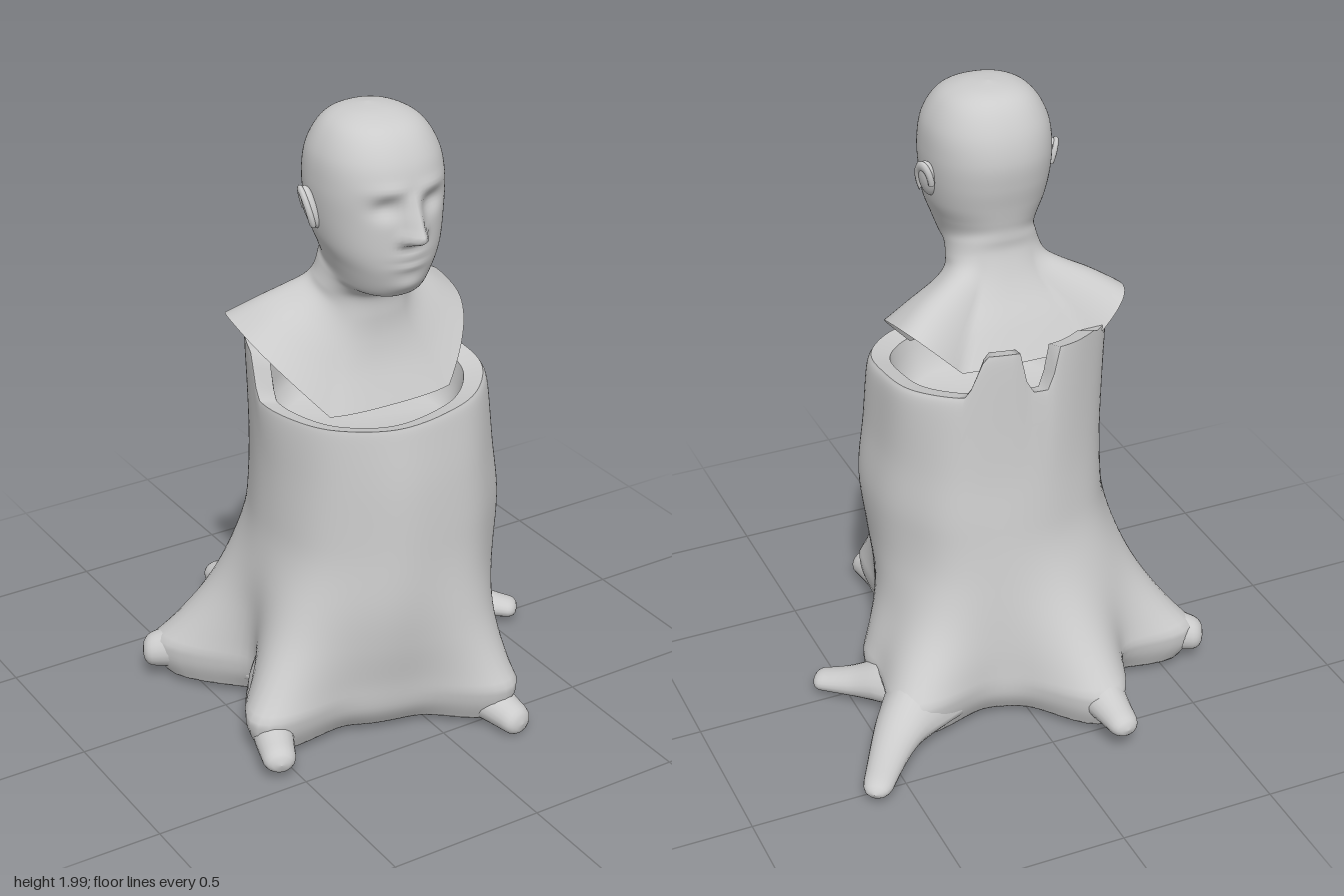
import * as THREE from 'three';

const grey = new THREE.MeshStandardMaterial({ color: 0xcccccc });
const greyThin = new THREE.MeshStandardMaterial({ color: 0xcccccc, side: THREE.DoubleSide });
const { lerp, clamp, smoothstep } = THREE.MathUtils;
const gauss = (d, s) => Math.exp(-(d * d) / (s * s));
const spow = (v, e) => Math.sign(v) * Math.pow(Math.abs(v), e);

// Skin a list of closed rings (each an array of [x, y, z])
function loft(rings) {
  const n = rings[0].length, index = [];
  for (let j = 0; j < rings.length - 1; j++) {
    for (let i = 0; i < n; i++) {
      const k = (i + 1) % n;
      const a = j * n + i, b = j * n + k, c = a + n, d = b + n;
      index.push(a, c, b, c, d, b);
    }
  }
  const g = new THREE.BufferGeometry();
  g.setAttribute('position', new THREE.Float32BufferAttribute(rings.flat(2), 3));
  g.setIndex(index);
  g.computeVertexNormals();
  return g;
}

function part(name, geometry, material = grey) {
  const m = new THREE.Mesh(geometry, material);
  m.name = name;
  return m;
}

// Catmull-Rom sample of rows of numbers at t in 0..1
function sample(rows, t) {
  const f = t * (rows.length - 1);
  const i = Math.min(Math.floor(f), rows.length - 2), u = f - i;
  const at = (k) => rows[clamp(k, 0, rows.length - 1)];
  return rows[0].map((_, c) => {
    const [p, q, r, s] = [at(i - 1)[c], at(i)[c], at(i + 1)[c], at(i + 2)[c]];
    return q + 0.5 * u * (r - p + u * (2 * p - 5 * q + 4 * r - s + u * (3 * (q - r) + s - p)));
  });
}

const angles = (n) => Array.from({ length: n }, (_, i) => (i / n) * Math.PI * 2);

// ---- Stump ----
// Each root: plan path [x, z], base/tip half width, base/tip top, tip underside, swelling of the trunk
const ROOTS = [
  { path: [[-0.1, -0.1], [-0.15, -0.3], [-0.18, -0.47], [-0.19, -0.65]], w: [0.26, 0.045], top: [0.6, 0.14], low: 0.07, swell: 0.3 },
  { path: [[0.12, -0.05], [0.31, -0.22], [0.48, -0.37], [0.63, -0.57]], w: [0.24, 0.045], top: [0.5, 0.09], low: 0.03, swell: 0.3 },
  { path: [[0.2, -0.16], [0.36, -0.12], [0.48, -0.03], [0.59, 0.06]], w: [0.14, 0.045], top: [0.36, 0.09], low: 0.03, swell: 0.13 },
  { path: [[0.07, 0.2], [0.13, 0.36], [0.17, 0.49], [0.2, 0.645]], w: [0.23, 0.05], top: [0.55, 0.1], low: 0.01, swell: 0.24 },
  { path: [[-0.24, 0.08], [-0.4, 0.18], [-0.5, 0.3], [-0.57, 0.475]], w: [0.18, 0.05], top: [0.52, 0.12], low: 0.04, swell: 0.3 },
  { path: [[-0.2, -0.05], [-0.36, -0.15], [-0.5, -0.22], [-0.64, -0.295]], w: [0.28, 0.05], top: [0.68, 0.16], low: 0.06, swell: 0.36 },
];

// Trunk outline by height fraction: [height, xMin, xMax, zBack, zFront]
const TRUNK = [
  [1, -0.4, 0.32, -0.25, 0.43], [0.96, -0.4, 0.335, -0.255, 0.44], [0.8, -0.39, 0.345, -0.27, 0.465],
  [0.62, -0.395, 0.365, -0.29, 0.48], [0.45, -0.41, 0.345, -0.31, 0.485], [0.32, -0.41, 0.33, -0.325, 0.475],
  [0.2, -0.41, 0.335, -0.335, 0.455], [0.1, -0.41, 0.335, -0.34, 0.44], [0.035, -0.37, 0.3, -0.31, 0.4],
];
const CX = -0.04, CZ = 0.07; // trunk axis

function outline([, x0, x1, z0, z1], a) {
  return [
    (x0 + x1) / 2 + ((x1 - x0) / 2) * spow(Math.sin(a), 0.92),
    (z0 + z1) / 2 + ((z1 - z0) / 2) * spow(Math.cos(a), 0.92),
  ];
}

// Broken rim: slopes up to the back, raised behind with a notch
function rimHeight(a) {
  const [x, z] = outline(TRUNK[0], a);
  const base = 1.08 + 0.1 * (0.43 - z) + 0.03 * x;
  const side = 0.13 * smoothstep(-z, -0.09, -0.02) * smoothstep(-x, 0.1, 0.16);
  const back = 0.14 * smoothstep(-z, 0.15, 0.18) * smoothstep(-x, -0.17, -0.1);
  const notch = smoothstep(Math.abs(x + 0.06), 0.035, 0.06);
  return base + Math.max(side, back) * notch;
}

function trunkRings() {
  const rows = [], N = 48;
  for (let j = 0; j <= N; j++) {
    const s = sample(TRUNK, j / N);
    rows.push(angles(120).map((a) => {
      const y = s[0] * lerp(1.1, rimHeight(a), smoothstep(s[0], 0.75, 1));
      const [x, z] = outline(s, a);
      // Shallow bark ridges, then a buttress spreading into each root
      let k = 1 + 0.01 * Math.sin(5 * a + 2.5 * y) + 0.006 * Math.sin(9 * a - 3 * y);
      const spread = Math.pow(Math.max(0, 0.68 - Math.max(y, 0.16)) / 0.6, 2);
      for (const { path, swell } of ROOTS) {
        const d = Math.atan2(path[2][0] - CX, path[2][1] - CZ) - Math.atan2(x - CX, z - CZ);
        const wide = lerp(0.24, 0.42, clamp(y / 0.6, 0, 1));
        k += (swell * spread * gauss(Math.atan2(Math.sin(d), Math.cos(d)), wide)) / Math.hypot(x - CX, z - CZ);
      }
      return [CX + (x - CX) * k, y, CZ + (z - CZ) * k];
    }));
  }
  for (const f of [0.9, 0.5, 0]) rows.push(rows[N].map(([x, , z]) => [CX + (x - CX) * f, 0.045, CZ + (z - CZ) * f]));
  return rows;
}

function rootGeometry({ path, w, top, low }) {
  const rings = [], N = 26;
  for (let j = 0; j <= N; j++) {
    const s = 1 - Math.pow(1 - j / N, 1.3);
    const [x, z] = sample(path, s);
    const [xa, za] = sample(path, Math.max(0, s - 0.01));
    const [xb, zb] = sample(path, Math.min(1, s + 0.01));
    const len = Math.hypot(xb - xa, zb - za), dx = (xb - xa) / len, dz = (zb - za) / len;
    const fall = Math.pow(1 - s, 1.7);
    const cap = Math.sqrt(Math.max(0, 1 - Math.pow(clamp((s - 0.9) / 0.1, 0, 1), 2)));
    const half = lerp(w[1], w[0], fall) * cap;
    const yTop = lerp(top[1], top[0], fall), yLow = lerp(low, 0.03, 1 - s);
    const mid = yLow + Math.min((yTop - yLow) / 2, 0.07);
    rings.push(angles(20).map((a) => {
      const c = Math.cos(a), h = Math.sin(a);
      const tall = (h > 0 ? yTop - mid : mid - yLow) * cap;
      // Tall sections pinch towards their crest
      const pinch = h > 0 ? 1 - 0.25 * h * (1 - s) : 1;
      return [x - dz * half * c * pinch, mid + tall * h, z + dx * half * c * pinch];
    }));
  }
  return loft(rings);
}

function buildStump() {
  const stump = new THREE.Group();
  stump.name = 'stump';
  const rows = trunkRings(), rim = rows[0];
  stump.add(part('trunk', loft(rows)));
  // Inset copy of the rim, following its height or set to height y
  const inner = (f, y) => rim.map(([x, ry, z]) => [CX + (x - CX) * f, y ?? ry - 0.015, 0.09 + (z - 0.09) * f]);
  stump.add(part('rim', loft([inner(0.84), rim])));
  stump.add(part('hollow', loft([inner(0, 0.95), inner(0.68, 0.95), inner(0.77, 1), inner(0.81, 1.04), inner(0.84)])));
  ROOTS.forEach((r, i) => stump.add(part('root' + (i + 1), rootGeometry(r))));
  return stump;
}

// ---- Bust ----
// Rings from crown to collar: [y front, y back, half width, z front, z back, side lift]
const BUST = [
  [2, 2, 0, 0.15, 0.15, 0], [1.99, 1.985, 0.085, 0.24, 0.07, 0], [1.955, 1.95, 0.145, 0.32, 0.02, 0],
  [1.88, 1.88, 0.185, 0.375, -0.02, 0], [1.79, 1.8, 0.196, 0.398, -0.037, 0], [1.7, 1.72, 0.192, 0.397, -0.03, 0],
  [1.6, 1.65, 0.178, 0.395, -0.015, 0], [1.53, 1.6, 0.155, 0.382, -0.005, 0], [1.465, 1.57, 0.138, 0.345, 0, 0],
  [1.45, 1.54, 0.138, 0.28, 0, 0], [1.42, 1.5, 0.147, 0.235, 0, 0], [1.35, 1.44, 0.16, 0.23, -0.02, 0.04],
  [1.28, 1.38, 0.205, 0.235, -0.05, 0.08], [1.2, 1.3, 0.29, 0.255, -0.1, 0.12], [1.09, 1.2, 0.372, 0.3, -0.155, 0.175],
];

// Relief of the face at side offset x and height y
function face(x, y) {
  const ax = Math.abs(x);
  const ridge = y > 1.66 ? clamp((1.8 - y) / 0.14, 0, 1) : clamp((y - 1.635) / 0.025, 0, 1);
  return 0.07 * ridge * gauss(x, 0.028)
    + 0.015 * gauss(ax - 0.03, 0.018) * gauss(y - 1.665, 0.02)
    - 0.024 * gauss(ax - 0.075, 0.045) * gauss(y - 1.755, 0.032)
    + 0.008 * gauss(ax - 0.07, 0.06) * gauss(y - 1.805, 0.02)
    + 0.008 * gauss(x, 0.05) * (gauss(y - 1.605, 0.014) + gauss(y - 1.57, 0.014))
    + 0.012 * gauss(x, 0.05) * gauss(y - 1.505, 0.025);
}

function bustGeometry() {
  const rings = [], N = 110;
  for (let j = 0; j <= N; j++) {
    const [yF, yB, half, zF, zB, lift] = sample(BUST, j / N);
    const e = 0.9 - Math.max(0, lift) * 1.2;
    rings.push(angles(96).map((a) => {
      const s = spow(Math.sin(a), e), c = spow(Math.cos(a), e);
      // The collar is level in front and rises straight to the shoulder points
      const rise = lift * clamp((Math.abs(s) - 0.57) / 0.43, 0, 1);
      const x = half * s;
      const y = lerp(yB, yF, (1 + c) / 2) + rise;
      const relief = c > 0 && j < N * 0.62 ? face(x, y) * smoothstep(c, 0.1, 0.5) : 0;
      return [x, Math.min(y, 2), (zF + zB) / 2 + ((zF - zB) / 2) * c + relief - 0.3 * rise];
    }));
  }
  return loft(rings);
}

function buildBust() {
  const bust = new THREE.Group();
  bust.name = 'bust';
  bust.position.x = -0.065;
  bust.add(part('headAndShoulders', bustGeometry(), greyThin));
  for (const side of [-1, 1]) {
    const ear = new THREE.Group();
    ear.name = side > 0 ? 'leftEar' : 'rightEar';
    const lobe = part('earBody', new THREE.SphereGeometry(1, 20, 14));
    lobe.scale.set(0.022, 0.066, 0.034);
    // Helix curls over the top and back, open at the front
    const helix = part('earHelix', new THREE.TorusGeometry(0.03, 0.01, 8, 24, Math.PI * 1.3));
    helix.rotation.y = Math.PI / 2;
    helix.scale.set(1, 1.8, 1);
    helix.position.x = side * 0.012;
    ear.add(lobe, helix);
    ear.position.set(side * 0.196, 1.715, 0.155);
    ear.rotation.set(-0.2, side * 0.35, -side * 0.2);
    bust.add(ear);
  }
  return bust;
}

export function createModel() {
  const model = new THREE.Group();
  model.name = 'stumpWithBust';
  model.add(buildStump(), buildBust());
  return model;
}
